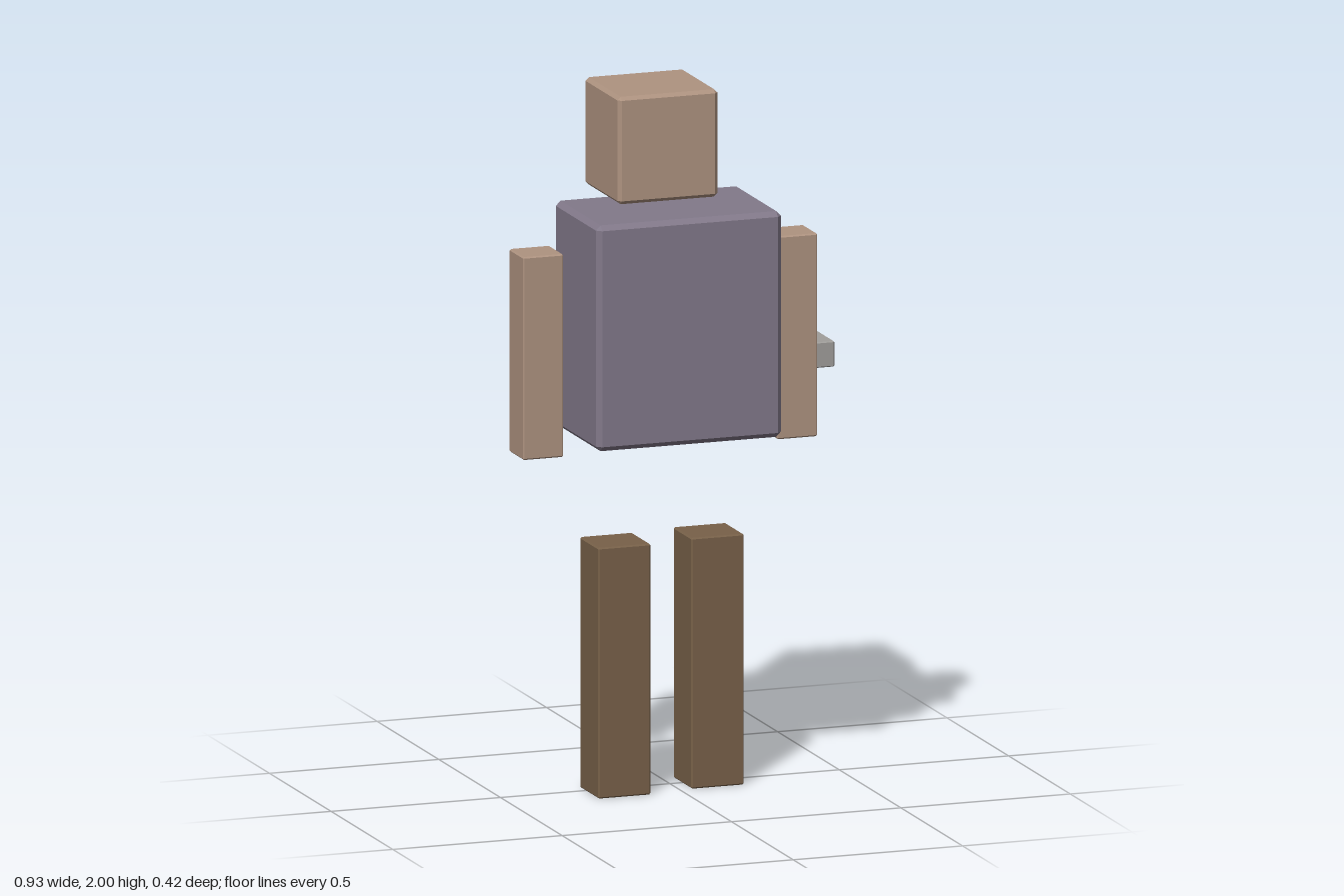
import * as THREE from 'three';
import { ConvexGeometry } from 'three/addons/geometries/ConvexGeometry.js';

const material = (name, color) => {
  const m = new THREE.MeshStandardMaterial({ color });
  m.name = name;
  return m;
};

// Box with flat chamfers: each corner contributes one point to each of its three faces.
function chamferBox(w, h, d, bevel) {
  const half = [w / 2, h / 2, d / 2];
  const points = [];
  for (const sx of [-1, 1]) for (const sy of [-1, 1]) for (const sz of [-1, 1]) {
    const signs = [sx, sy, sz];
    for (let face = 0; face < 3; face++) {
      points.push(new THREE.Vector3(...half.map((s, i) => signs[i] * (i === face ? s : s - bevel))));
    }
  }
  return new ConvexGeometry(points);
}

export function createModel() {
  const model = new THREE.Group();
  model.name = 'blockFigure';

  const skin = material('skin', 0xae9380);
  const cloth = material('cloth', 0x82798a);
  const trousers = material('trousers', 0x786149);
  const metal = material('metal', 0xa09e9b);

  // Place a chamfered block by its x, y and z ranges.
  function block(name, mat, [x0, x1], [y0, y1], [z0, z1], bevel) {
    const mesh = new THREE.Mesh(chamferBox(x1 - x0, y1 - y0, z1 - z0, bevel), mat);
    mesh.name = name;
    mesh.position.set((x0 + x1) / 2, (y0 + y1) / 2, (z0 + z1) / 2);
    model.add(mesh);
  }

  // Head and torso
  block('head', skin, [-0.204, 0.091], [1.694, 2], [-0.133, 0.145], 0.01);
  block('torso', cloth, [-0.289, 0.257], [1.01, 1.653], [-0.145, 0.208], 0.014);

  // Arms
  block('rightArm', skin, [-0.465, -0.346], [0.976, 1.554], [-0.025, 0.089], 0.004);
  block('leftArm', skin, [0.285, 0.404], [0.976, 1.554], [-0.025, 0.089], 0.004);

  // Legs, the right one a little further forward
  block('rightLeg', trousers, [-0.251, -0.096], [0, 0.714], [-0.04, 0.11], 0.004);
  block('leftLeg', trousers, [0.034, 0.189], [0, 0.714], [-0.065, 0.083], 0.004);

  // Rod held beside the left arm
  block('rod', metal, [0.382, 0.462], [1.165, 1.238], [-0.209, 0.067], 0.003);

  return model;
}
